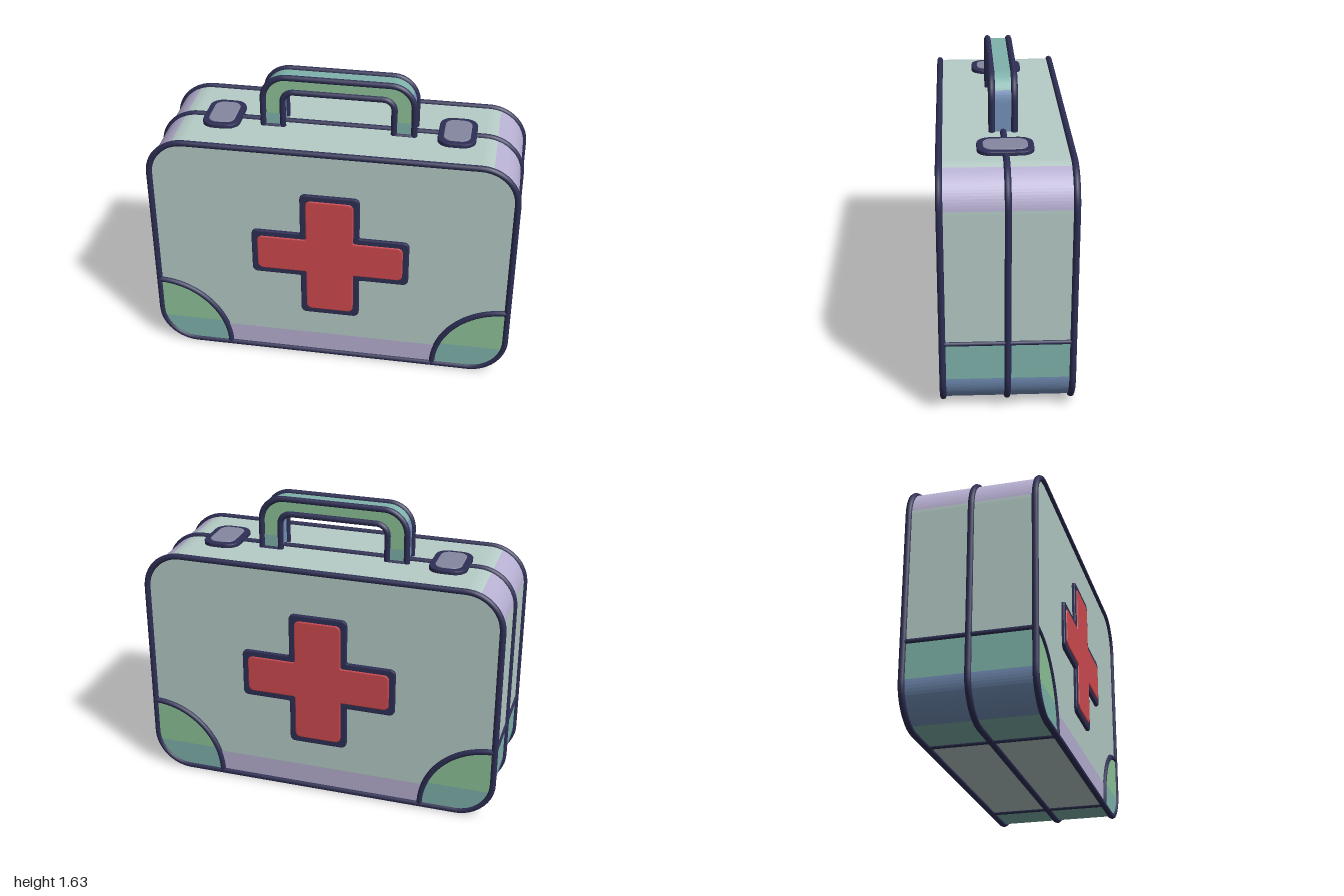
import * as THREE from 'three';

const mat = (name, color) => Object.assign(new THREE.MeshStandardMaterial({ color }), { name });
const M = {
  mint: mat('pale mint', 0xb6ccc7),
  lavender: mat('lavender', 0xb7b0d2),
  green: mat('leaf green', 0x8ec49a),
  teal: mat('teal', 0x7fb3ab),
  blue: mat('dusty blue', 0x7592bb),
  navy: mat('navy outline', 0x2e2f55),
  red: mat('red', 0xcf4a50),
  grey: mat('latch grey', 0x8587a0),
};
const HALF_W = 0.983, BOTTOM = 0.017, TOP = 1.325, DEPTH = 0.33, LINE = 0.017;

function add(parent, name, geo, material) {
  const mesh = new THREE.Mesh(geo, material);
  mesh.name = name;
  parent.add(mesh);
  return mesh;
}

// Counter-clockwise polygon of [x, y, cornerRadius] with rounded corners
function rounded(corners) {
  const shape = new THREE.Shape();
  const n = corners.length;
  corners.forEach(([x, y, r], i) => {
    const p = new THREE.Vector2(x, y);
    const toward = (j) => new THREE.Vector2(corners[j][0], corners[j][1]).sub(p).setLength(r).add(p);
    const a = toward((i + n - 1) % n), b = toward((i + 1) % n);
    if (i === 0) shape.moveTo(a.x, a.y);
    else shape.lineTo(a.x, a.y);
    if (r > 0) {
      const c = a.clone().lerp(p, 0.55), d = b.clone().lerp(p, 0.55);
      shape.bezierCurveTo(c.x, c.y, d.x, d.y, b.x, b.y);
    }
  });
  shape.closePath();
  return shape;
}

const roundRect = (x, y0, y1, r) => rounded([[-x, y0, r], [x, y0, r], [x, y1, r], [-x, y1, r]]);

// Wall swept along z around a shape; pick(x, y) chooses the colour of each strip
function wall(parent, name, shape, depth, steps, pick) {
  const pts = shape.getSpacedPoints(steps);
  const strips = new Map();
  for (let i = 0; i < pts.length - 1; i++) {
    const p = pts[i], q = pts[i + 1];
    const m = pick((p.x + q.x) / 2, (p.y + q.y) / 2);
    if (!strips.has(m)) strips.set(m, []);
    const A = [p.x, p.y, depth], B = [p.x, p.y, -depth], C = [q.x, q.y, -depth], D = [q.x, q.y, depth];
    strips.get(m).push(...A, ...B, ...C, ...A, ...C, ...D);
  }
  for (const [m, v] of strips) {
    const geo = new THREE.BufferGeometry();
    geo.setAttribute('position', new THREE.Float32BufferAttribute(v, 3));
    geo.computeVertexNormals();
    add(parent, `${name} ${m.name}`, geo, m);
  }
}

// Dark cord following a closed shape at height z
function cord(parent, name, shape, z, steps) {
  const pts = shape.getSpacedPoints(steps).slice(0, -1).map((p) => new THREE.Vector3(p.x, p.y, z));
  const curve = new THREE.CatmullRomCurve3(pts, true);
  add(parent, name, new THREE.TubeGeometry(curve, steps * 2, LINE, 8, true), M.navy);
}

const slab = (shape, depth, bevel = 0) => new THREE.ExtrudeGeometry(shape, {
  depth: depth - bevel, bevelEnabled: bevel > 0, bevelSize: bevel, bevelThickness: bevel,
  bevelOffset: -bevel, bevelSegments: 2, curveSegments: 6,
});

// Cross outline grown by o
function crossShape(o) {
  const w = 0.4 + o, a = 0.13 + o, lo = 0.335 - o, hi = 1.045 + o, y0 = 0.585 - o, y1 = 0.795 + o, r = 0.03;
  return rounded([
    [-a, lo, r], [a, lo, r], [a, y0, 0.01], [w, y0, r], [w, y1, r], [a, y1, 0.01],
    [a, hi, r], [-a, hi, r], [-a, y1, 0.01], [-w, y1, r], [-w, y0, r], [-a, y0, 0.01],
  ]);
}

// Quarter-round corner guard, with y limited to a band by the clamp rule
function guardShape(clamp) {
  const pts = [];
  const r = 0.2, cx = HALF_W - r, cy = BOTTOM + r, R = 0.405;
  for (let i = 0; i <= 16; i++) {
    const t = -Math.PI / 2 + (i / 16) * (Math.PI / 2);
    pts.push([cx + r * Math.cos(t), cy + r * Math.sin(t)]);
  }
  for (let i = 0; i <= 32; i++) {
    const t = Math.PI / 2 + (i / 32) * (Math.PI / 2);
    pts.push([HALF_W + R * Math.cos(t), BOTTOM + R * Math.sin(t)]);
  }
  return new THREE.Shape(pts.map(([x, y]) => new THREE.Vector2(x, clamp(y))));
}

// One large face of the case with its painted details
function makeFace(name, body) {
  const face = new THREE.Group();
  face.name = name;
  add(face, 'panel', new THREE.ShapeGeometry(body, 16), M.mint).position.z = DEPTH;

  const band = new THREE.PlaneGeometry(1.24, 0.13);
  add(face, 'lowerBand', band, M.lavender).position.set(0, BOTTOM + 0.065, DEPTH + 0.003);

  for (const s of [1, -1]) {
    const guard = new THREE.Group();
    guard.name = s > 0 ? 'leftCornerGuard' : 'rightCornerGuard';
    guard.scale.x = s;
    const split = 0.165;
    add(guard, 'guardUpper', new THREE.ShapeGeometry(guardShape((y) => Math.max(y, split))), M.green).position.z = DEPTH + 0.006;
    add(guard, 'guardLower', new THREE.ShapeGeometry(guardShape((y) => Math.min(y, split))), M.teal).position.z = DEPTH + 0.006;
    const arc = [];
    for (let i = 0; i <= 16; i++) {
      const t = Math.PI / 2 + (i / 16) * (Math.PI / 2);
      arc.push(new THREE.Vector3(HALF_W + 0.4 * Math.cos(t), BOTTOM + 0.4 * Math.sin(t), DEPTH));
    }
    add(guard, 'guardOutline', new THREE.TubeGeometry(new THREE.CatmullRomCurve3(arc), 32, LINE, 8), M.navy);
    face.add(guard);
  }

  add(face, 'crossOutline', slab(crossShape(0.032), 0.018, 0.006), M.navy).position.z = DEPTH;
  add(face, 'cross', slab(crossShape(0), 0.024, 0.006), M.red).position.z = DEPTH;
  cord(face, 'rimOutline', body, DEPTH, 160);
  return face;
}

function makeHandle() {
  const handle = new THREE.Group();
  handle.name = 'handle';
  const z = 0.058, o = 0.407, i = 0.3, y0 = TOP - 0.005, yi = 1.53, yo = 1.613;
  const shape = rounded([
    [-o, y0, 0], [-i, y0, 0], [-i, yi, 0.06], [i, yi, 0.06],
    [i, y0, 0], [o, y0, 0], [o, yo, 0.13], [-o, yo, 0.13],
  ]);
  wall(handle, 'handleWall', shape, z, 200, (x, y) => (y > 1.54 ? M.teal : M.blue));
  for (const turn of [0, Math.PI]) {
    const side = new THREE.Group();
    side.name = turn ? 'handleBack' : 'handleFront';
    side.rotation.y = turn;
    add(side, 'grip', new THREE.ShapeGeometry(shape, 12), M.green).position.z = z;
    for (const s of [1, -1]) {
      add(side, 'gripFoot', new THREE.PlaneGeometry(o - i, 0.08), M.teal).position.set(s * (o + i) / 2, y0 + 0.04, z + 0.003);
    }
    cord(side, 'gripOutline', shape, z, 140);
    handle.add(side);
  }
  return handle;
}

export function createModel() {
  const model = new THREE.Group();
  model.name = 'firstAidCase';
  const body = roundRect(HALF_W, BOTTOM, TOP, 0.2);

  // Curved walls between the two faces
  wall(model, 'caseWall', body, DEPTH, 400, (x, y) => {
    const ax = Math.abs(x);
    if (y > 1.148) return ax > 0.85 ? M.lavender : M.mint;
    if (y > 0.41) return M.mint;
    if (y < 0.03) return ax > 0.575 ? M.teal : M.mint;
    return y < 0.215 ? M.blue : M.teal;
  });

  // Faces
  const front = makeFace('frontFace', body);
  const back = makeFace('backFace', body);
  back.rotation.y = Math.PI;
  model.add(front, back);

  // Seam and the lines where the corner guards wrap around
  cord(model, 'seam', body, 0, 160);
  for (const s of [1, -1]) {
    const line = () => new THREE.CylinderGeometry(0.012, 0.012, DEPTH * 2, 8).rotateX(Math.PI / 2);
    add(model, 'guardSideLine', line(), M.navy).position.set(s * HALF_W, 0.415, 0);
    add(model, 'guardBaseLine', line(), M.navy).position.set(s * 0.58, BOTTOM, 0);
  }

  // Latches
  for (const s of [1, -1]) {
    const latch = new THREE.Group();
    latch.name = s > 0 ? 'leftLatch' : 'rightLatch';
    latch.position.set(s * 0.635, TOP, 0);
    const plate = (w, h, r, t) => slab(roundRect(w, -h, h, r), t, 0.006).rotateX(-Math.PI / 2);
    add(latch, 'latchRim', plate(0.102, 0.143, 0.07, 0.022), M.navy);
    add(latch, 'latchPlate', plate(0.072, 0.113, 0.05, 0.027), M.grey);
    model.add(latch);
  }

  model.add(makeHandle());
  return model;
}
